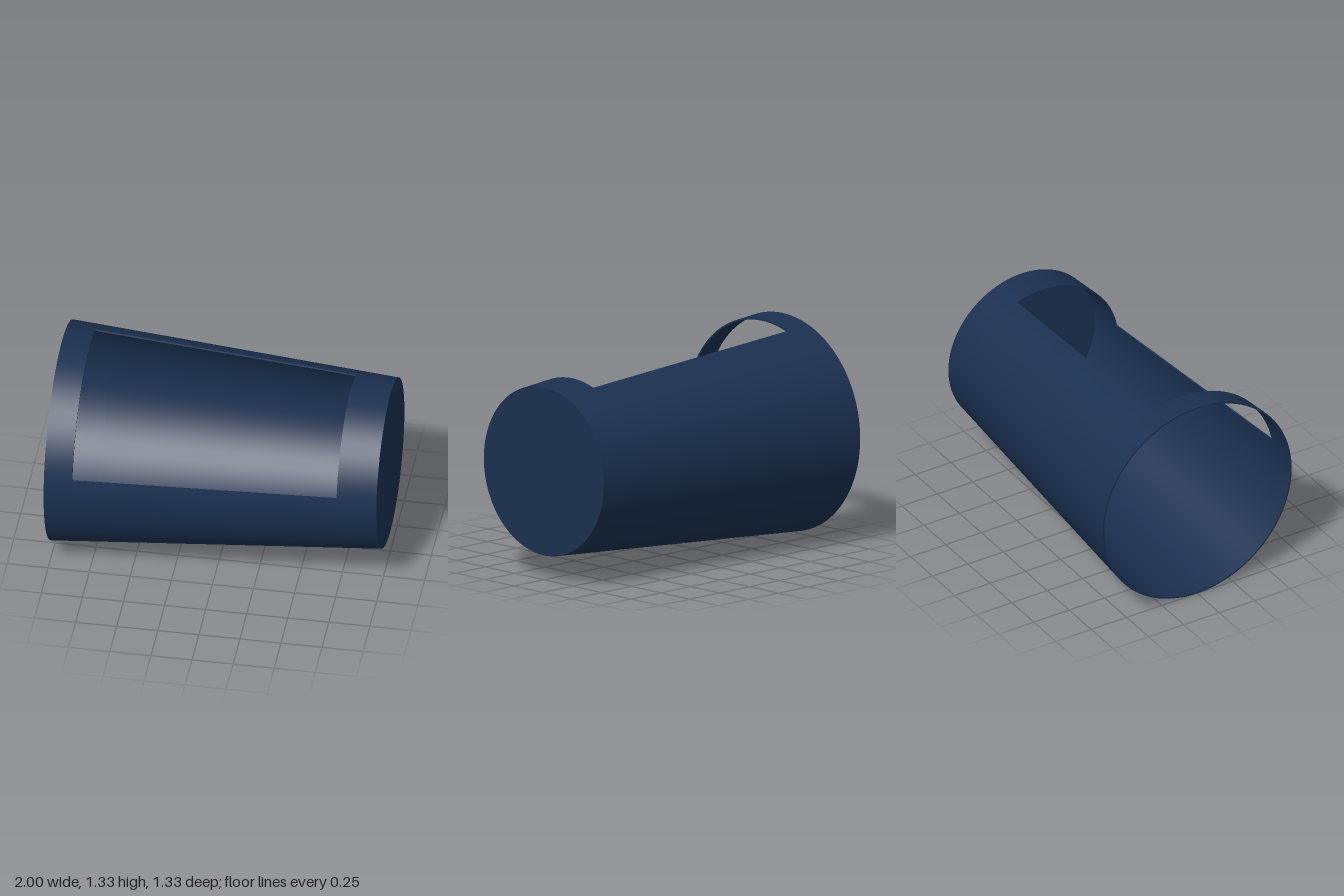
import * as THREE from 'three';
import { toCreasedNormals } from 'three/addons/utils/BufferGeometryUtils.js';

const AXIS_Y = 0.67;
const WALL = 0.009;
const deg = THREE.MathUtils.degToRad;
// Outer radius of the taper at position x along the axis
const radiusAt = (x) => 0.592 - 0.075 * x;

// Extrudes a unit-radius outline along x and tapers it to the cup's cone
function taperedPart(name, shape, x0, x1, material) {
  const geo = new THREE.ExtrudeGeometry(shape, {
    depth: x1 - x0, steps: 1, curveSegments: 96, bevelEnabled: false,
  });
  const pos = geo.attributes.position;
  for (let i = 0; i < pos.count; i++) {
    const x = pos.getZ(i) + x0;
    const r = radiusAt(x);
    pos.setXYZ(i, pos.getX(i) * r, pos.getY(i) * r, x);
  }
  geo.rotateY(Math.PI / 2);
  const mesh = new THREE.Mesh(toCreasedNormals(geo, deg(30)), material);
  mesh.name = name;
  mesh.position.y = AXIS_Y;
  return mesh;
}

function ringShape(inner) {
  const shape = new THREE.Shape().absarc(0, 0, 1, 0, Math.PI * 2, false);
  shape.holes.push(new THREE.Path().absarc(0, 0, inner, 0, Math.PI * 2, true));
  return shape;
}

function arcShape(inner, start, end) {
  const shape = new THREE.Shape();
  shape.absarc(0, 0, 1, start, end, false);
  shape.absarc(0, 0, inner, end, start, true);
  shape.closePath();
  return shape;
}

export function createModel() {
  const group = new THREE.Group();
  group.name = 'cutawayCup';
  const material = new THREE.MeshStandardMaterial({ color: 0x1b3050, side: THREE.DoubleSide });
  const inner = 1 - WALL / 0.6;
  const windowStart = -0.83, windowEnd = 0.76, floorStart = 0.99;

  // Open mouth at the wide end
  group.add(taperedPart('mouthRing', ringShape(inner), -1, windowStart, material));
  // Side wall with the window left out at the upper front
  group.add(taperedPart('sideWall', arcShape(inner, deg(169.2), deg(430.6)), windowStart, windowEnd, material));
  // Full ring and closed floor at the narrow end
  group.add(taperedPart('baseRing', ringShape(inner), windowEnd, floorStart, material));
  const disc = new THREE.Shape().absarc(0, 0, 1, 0, Math.PI * 2, false);
  group.add(taperedPart('floor', disc, floorStart, 1, material));
  return group;
}
